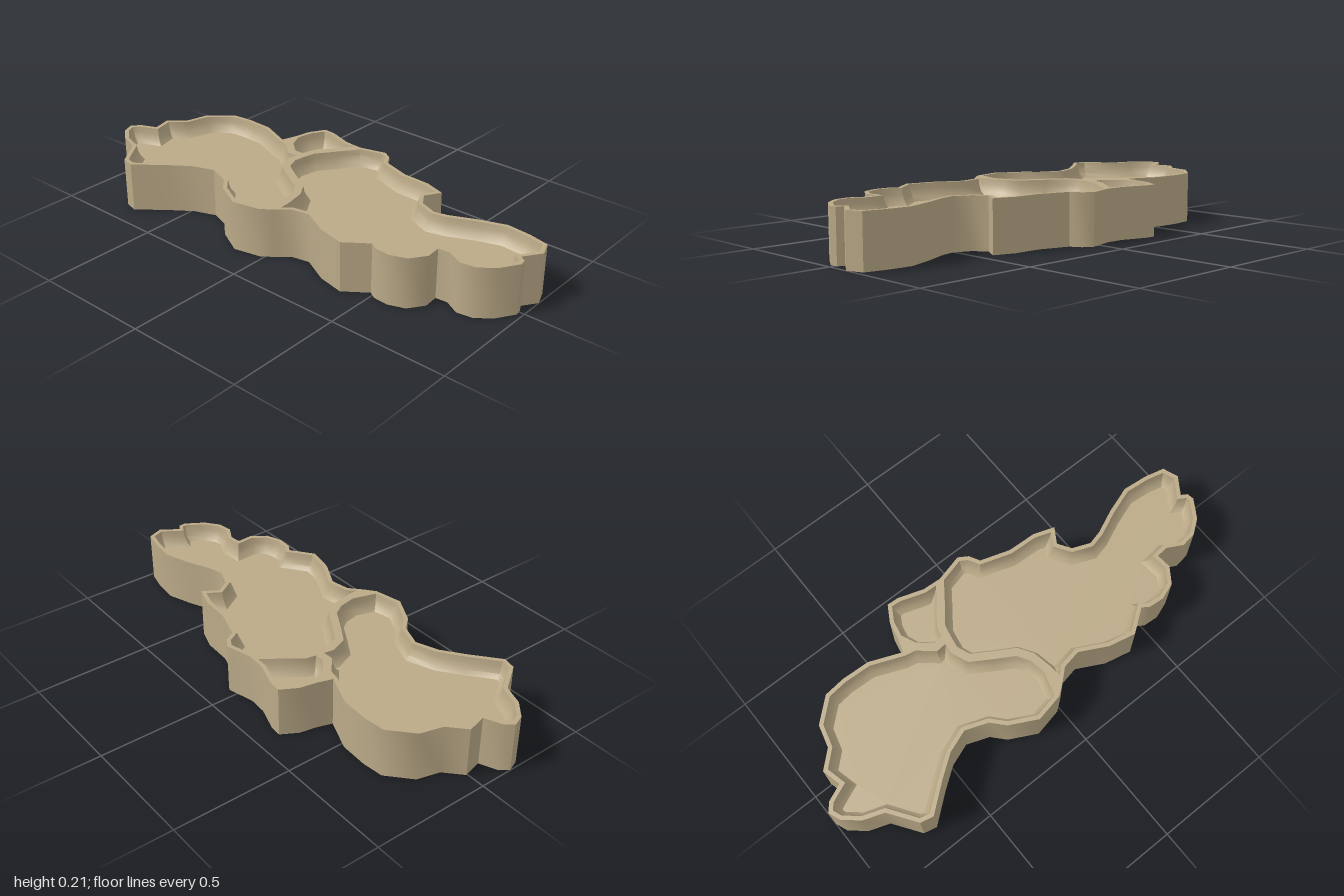
import * as THREE from 'three';
import { toCreasedNormals } from 'three/addons/utils/BufferGeometryUtils.js';

const H = 0.214; // rim height

// Outline pieces in plan, as [x, z], joined to make the basins and the outer wall
const sideJoint = [[0.26, -0.365]], leftJoint = [[-0.335, -0.015]];
const midJoint = [[0.14, -0.21]], rightJoint = [[0.36, -0.075]];
const backEdge = [
  [0.2, -0.385], [0.255, -0.52], [0.26, -0.64], [0.25, -0.73], [0.165, -0.825], [0.07, -0.85],
  [0.005, -0.92], [-0.075, -0.9], [-0.105, -0.97], [-0.14, -1], [-0.19, -0.98], [-0.245, -0.915],
  [-0.275, -0.83], [-0.39, -0.75], [-0.403, -0.695], [-0.31, -0.58], [-0.245, -0.49],
  [-0.21, -0.395], [-0.245, -0.3], [-0.3, -0.25], [-0.36, -0.135],
];
const divider = [[-0.22, 0.02], [-0.14, 0.005], [-0.085, -0.03], [-0.035, -0.115], [0.015, -0.195], [0.08, -0.22]];
const smallInner = [[0.135, -0.27], [0.19, -0.335]];
const smallOuter = [[0.335, -0.35], [0.403, -0.31], [0.4, -0.26], [0.365, -0.155]];
const smallFront = [[0.19, -0.2], [0.27, -0.14]];
const frontEdge = [
  [0.39, 0.04], [0.365, 0.08], [0.32, 0.105], [0.28, 0.23], [0.275, 0.35], [0.245, 0.44], [0.18, 0.4],
  [0.125, 0.435], [0.095, 0.51], [0.11, 0.57], [0.155, 0.67], [0.195, 0.785], [0.185, 0.89],
  [0.165, 0.975], [0.1, 1], [0.025, 0.95], [0.01, 0.975], [-0.02, 0.98], [-0.1, 0.93],
  [-0.145, 0.87], [-0.155, 0.805], [-0.12, 0.74], [-0.125, 0.69], [-0.19, 0.695], [-0.255, 0.65],
  [-0.28, 0.58], [-0.275, 0.515], [-0.255, 0.485], [-0.325, 0.39], [-0.3, 0.275], [-0.24, 0.16],
  [-0.255, 0.08], [-0.3, 0.03],
];

// Rim, rounded slope and floor edge as [inset, y]
const basinProfile = [[0, H], [0.017, H], [0.02, 0.19], [0.03, 0.162], [0.045, 0.145]];
const wallProfile = [[0, 0], [0, H]];

// Turns a list of points into a loop with a consistent direction
function makeLoop(...pieces) {
  const loop = pieces.flat().map(([x, z]) => new THREE.Vector2(x, z));
  return THREE.ShapeUtils.area(loop) < 0 ? loop.reverse() : loop;
}

// Moves every corner of a loop inwards along its mitre
function inset(loop, d) {
  const n = loop.length;
  const normal = (a, b) => new THREE.Vector2(a.y - b.y, b.x - a.x).normalize();
  return loop.map((p, i) => {
    const n1 = normal(loop[(i + n - 1) % n], p), n2 = normal(p, loop[(i + 1) % n]);
    const k = d / Math.max(0.5, 1 + n1.dot(n2));
    return p.clone().add(n1.add(n2).multiplyScalar(k));
  });
}

// Sweeps a profile around a loop, with an optional floor filling the last ring
function sweep(loop, profile, floor) {
  const n = loop.length, pos = [], index = [];
  let ring;
  profile.forEach(([d, y], r) => {
    ring = inset(loop, d);
    ring.forEach((p) => pos.push(p.x, y, p.y));
    if (r === 0) return;
    for (let i = 0; i < n; i++) {
      const j = (i + 1) % n, a = (r - 1) * n, b = r * n;
      index.push(a + i, b + j, a + j, a + i, b + i, b + j);
    }
  });
  if (floor) {
    const base = (profile.length - 1) * n;
    for (const [a, b, c] of THREE.ShapeUtils.triangulateShape(ring, [])) {
      index.push(base + a, base + c, base + b);
    }
  }
  const g = new THREE.BufferGeometry();
  g.setAttribute('position', new THREE.Float32BufferAttribute(pos, 3));
  g.setIndex(index);
  return toCreasedNormals(g, 0.7);
}

export function createModel() {
  const group = new THREE.Group();
  const tan = new THREE.MeshStandardMaterial({ color: 0xbaa987, side: THREE.DoubleSide });
  tan.name = 'tan';
  const add = (name, geometry) => {
    const mesh = new THREE.Mesh(geometry, tan);
    mesh.name = name;
    group.add(mesh);
  };

  // Three shallow basins sharing their dividing rims
  add('backBasin', sweep(makeLoop(backEdge, leftJoint, divider, midJoint, smallInner), basinProfile, true));
  add('smallBasin', sweep(makeLoop(sideJoint, smallOuter, rightJoint, [...smallFront].reverse(), midJoint, smallInner), basinProfile, true));
  add('frontBasin', sweep(makeLoop(divider, midJoint, smallFront, rightJoint, frontEdge), basinProfile, true));

  // Flat rim corners where the basins meet
  add('sideRimCorner', sweep(makeLoop(sideJoint, [backEdge[0]], [smallInner[1]]), [[0, H]], true));
  add('leftRimCorner', sweep(makeLoop(leftJoint, [divider[0]], frontEdge.slice(-1)), [[0, H]], true));

  // Thin outer wall, open underneath
  add('outerWall', sweep(makeLoop(sideJoint, smallOuter, rightJoint, frontEdge, leftJoint, [...backEdge].reverse()), wallProfile, false));
  return group;
}
